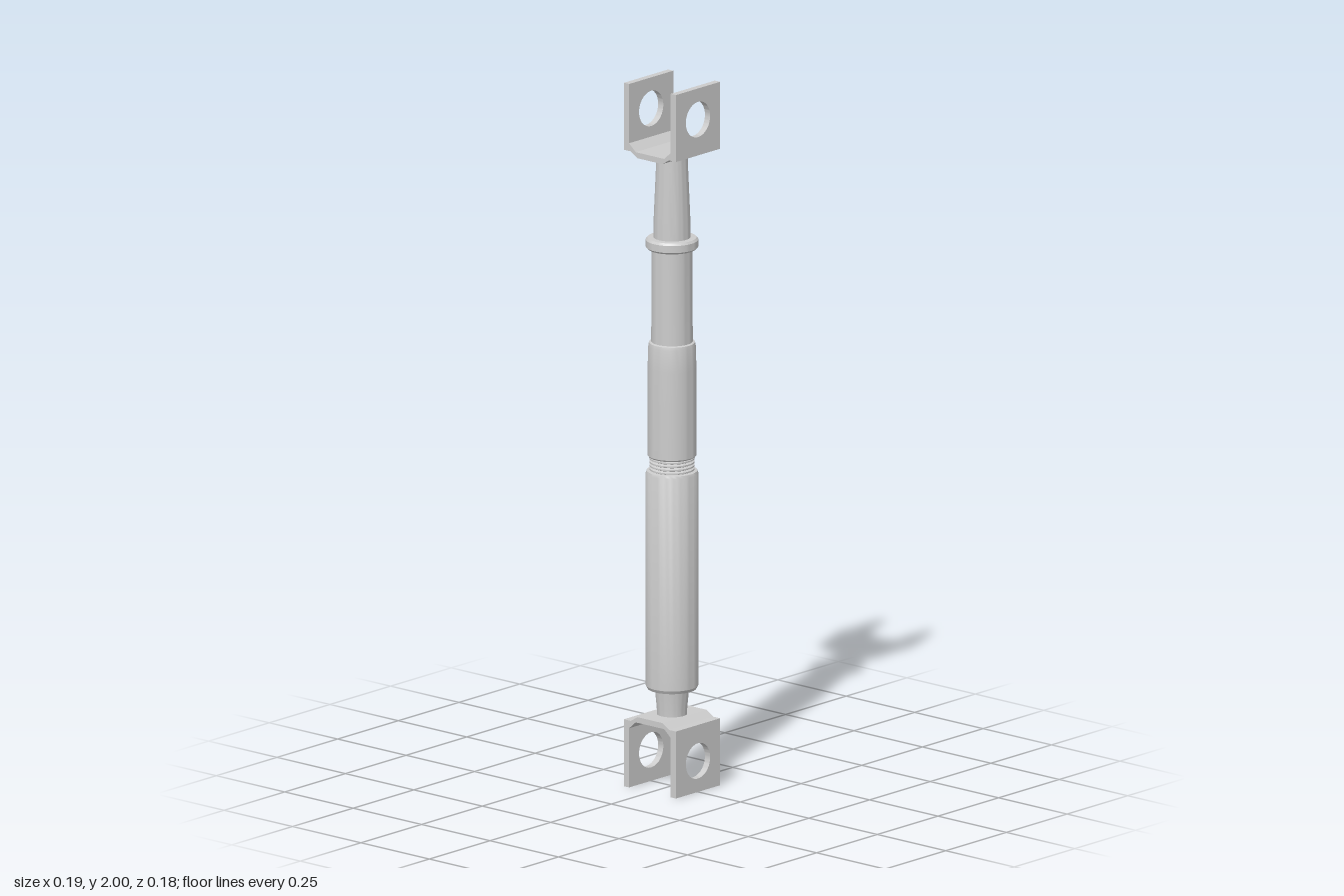
import * as THREE from 'three';
import { toCreasedNormals } from 'three/addons/utils/BufferGeometryUtils.js';

const material = new THREE.MeshStandardMaterial({ color: 0xcccccc });

function addMesh(parent, name, geometry) {
  const mesh = new THREE.Mesh(geometry, material);
  mesh.name = name;
  parent.add(mesh);
  return mesh;
}

// Solid of revolution from [radius, y] pairs, bottom to top, closed at both ends
function turned(profile) {
  const points = profile.map(([r, y]) => new THREE.Vector2(r, y));
  points.unshift(new THREE.Vector2(0, profile[0][1]));
  points.push(new THREE.Vector2(0, profile[profile.length - 1][1]));
  return toCreasedNormals(new THREE.LatheGeometry(points, 48), 0.5);
}

// U-shaped fork end opening upwards, built in place for the top end
function makeFork(name) {
  const fork = new THREE.Group();
  fork.name = name;
  const halfZ = 0.091, inner = 0.076, outer = 0.095, bottom = 1.81, top = 2;

  // Drilled side plates, drawn in the z-y plane
  const plate = new THREE.Shape([
    new THREE.Vector2(-halfZ, bottom), new THREE.Vector2(halfZ, bottom),
    new THREE.Vector2(halfZ, top), new THREE.Vector2(-halfZ, top),
  ]);
  const hole = new THREE.Path();
  hole.absarc(0, 1.912, 0.05, 0, Math.PI * 2, true);
  plate.holes.push(hole);
  const plateGeometry = toCreasedNormals(new THREE.ExtrudeGeometry(plate, {
    depth: outer - inner, bevelEnabled: false, curveSegments: 32,
  }).rotateY(Math.PI / 2), 0.5);
  addMesh(fork, 'leftForkPlate', plateGeometry).position.x = inner;
  addMesh(fork, 'rightForkPlate', plateGeometry).position.x = -outer;

  // Bent floor joining the plates
  const half = [[0.045, 1.795], [0.07, bottom], [inner, bottom], [inner, 1.832], [0.052, 1.811]];
  const mirrored = half.map(([x, y]) => [-x, y]).reverse();
  const floor = new THREE.Shape([...half, ...mirrored].map(([x, y]) => new THREE.Vector2(x, y)));
  addMesh(fork, 'forkFloor', new THREE.ExtrudeGeometry(floor, {
    depth: halfZ * 2, bevelEnabled: false,
  }).translate(0, 0, -halfZ));
  return fork;
}

export function createModel() {
  const model = new THREE.Group();
  model.name = 'telescopicStrut';

  // Fork ends; the lower one is the upper one turned over
  model.add(makeFork('upperFork'));
  const lowerFork = makeFork('lowerFork');
  lowerFork.rotation.x = Math.PI;
  lowerFork.position.y = 2.004;
  model.add(lowerFork);

  // Strut from bottom to top
  addMesh(model, 'lowerNeck', turned([[0.041, 0.205], [0.042, 0.23], [0.048, 0.29]]));
  addMesh(model, 'lowerCylinder', turned([
    [0.058, 0.28], [0.067, 0.282], [0.072, 0.291], [0.072, 0.893], [0.069, 0.9], [0.058, 0.902],
  ]));

  // Threaded section with four ridges
  const thread = [[0.055, 0.895]];
  for (let i = 0; i < 4; i++) {
    const y = 0.9 + i * 0.01;
    thread.push([0.055, y], [0.062, y + 0.003], [0.062, y + 0.007], [0.055, y + 0.01]);
  }
  addMesh(model, 'thread', turned(thread));

  addMesh(model, 'upperSleeve', turned([
    [0.058, 0.938], [0.064, 0.94], [0.067, 0.944], [0.067, 1.19], [0.065, 1.255], [0.063, 1.264], [0.055, 1.267],
  ]));
  addMesh(model, 'middleRod', turned([[0.057, 1.26], [0.056, 1.54]]));
  addMesh(model, 'collar', turned([
    [0.055, 1.529], [0.067, 1.53], [0.072, 1.535], [0.072, 1.555], [0.067, 1.561], [0.05, 1.562],
  ]));
  addMesh(model, 'topRod', turned([[0.051, 1.55], [0.05, 1.62], [0.044, 1.76], [0.043, 1.797]]));
  return model;
}
